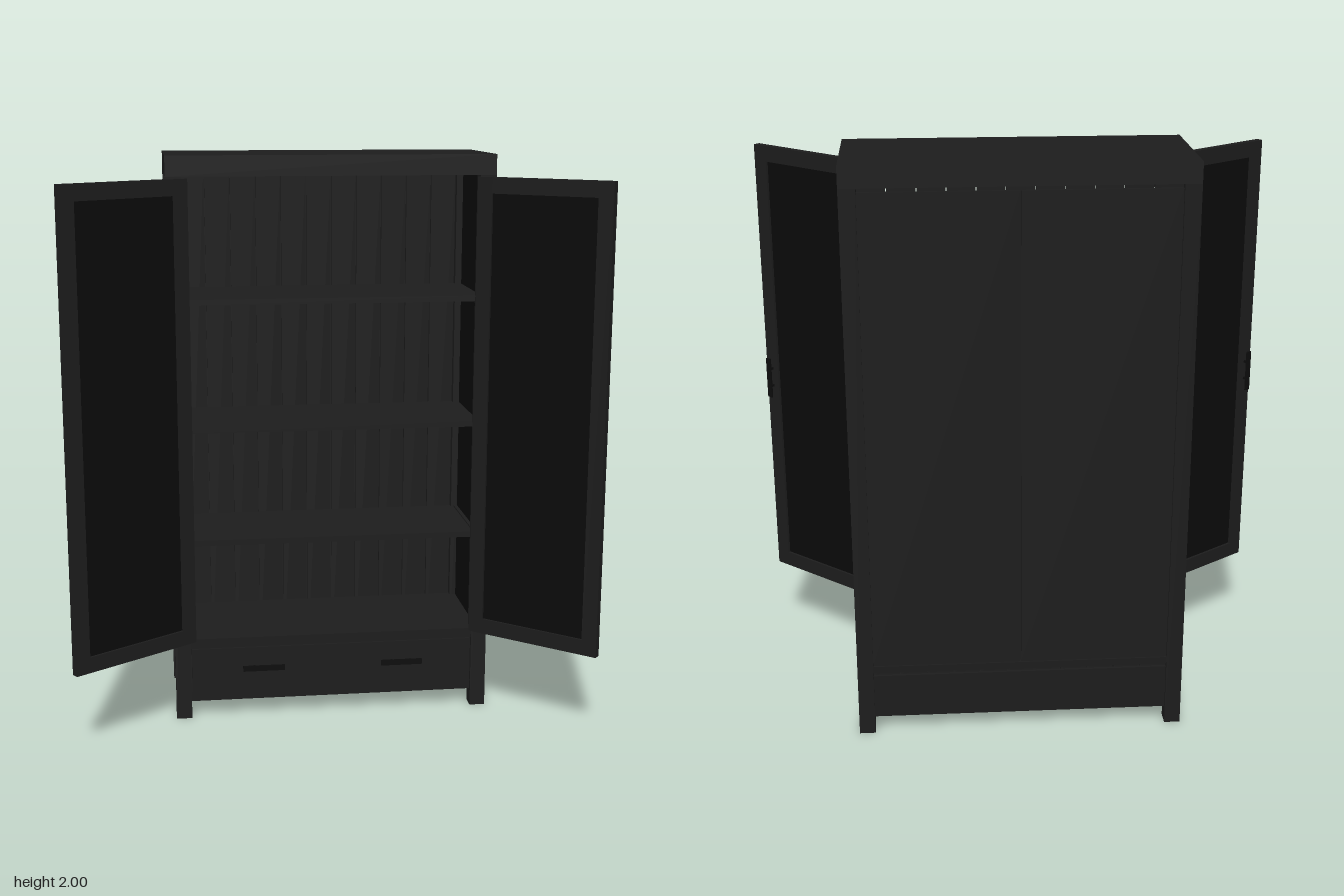
import * as THREE from 'three';

const wood = new THREE.MeshStandardMaterial({ color: 0x1c1c1c });
const glass = new THREE.MeshStandardMaterial({ color: 0x0a0a0a });
const metal = new THREE.MeshStandardMaterial({ color: 0x0c0c0c });

// Box given by its extents on each axis
function box(parent, name, [x0, x1], [y0, y1], [z0, z1], material = wood) {
  const geometry = new THREE.BoxGeometry(Math.abs(x1 - x0), y1 - y0, z1 - z0);
  const mesh = new THREE.Mesh(geometry, material);
  mesh.position.set((x0 + x1) / 2, (y0 + y1) / 2, (z0 + z1) / 2);
  mesh.name = name;
  parent.add(mesh);
  return mesh;
}

// Bar handle lying along x, its mounting plane at z = 0
function makeHandle() {
  const handle = new THREE.Group();
  handle.name = 'handle';
  box(handle, 'handleBar', [-0.075, 0.075], [-0.01, 0.01], [0.015, 0.021], metal);
  for (const x of [-0.033, 0.033])
    box(handle, 'handleStud', [x - 0.004, x + 0.004], [-0.005, 0.005], [-0.004, 0.016], metal);
  return handle;
}

// Glazed door reaching from its hinge at x = 0 towards dir, outside facing +z
function makeDoor(dir) {
  const door = new THREE.Group();
  const L = 0.5, w = 0.055, t = 0.0125, y0 = 0.297, y1 = 1.925;
  const span = (a, b) => [dir * a, dir * b];
  box(door, 'hingeStile', span(0, w), [y0, y1], [-t, t]);
  box(door, 'outerStile', span(L - w, L), [y0, y1], [-t, t]);
  box(door, 'topRail', span(w, L - w), [y1 - w, y1], [-t, t]);
  box(door, 'bottomRail', span(w, L - w), [y0, y0 + w], [-t, t]);
  box(door, 'doorGlass', span(w, L - w), [y0 + w, y1 - w], [-0.004, 0.004], glass);
  const handle = makeHandle();
  handle.rotation.z = Math.PI / 2;
  handle.position.set(dir * 0.473, 1.065, t);
  door.add(handle);
  return door;
}

export function createModel() {
  const model = new THREE.Group();
  model.name = 'cabinet';
  const body = new THREE.Group();
  body.name = 'body';
  body.position.x = 0.01;
  model.add(body);

  const W = 0.565, post = 0.055, inner = W - post;
  const zF = 0.05, zB = -0.403;
  const sideZ = [zB + post, zF - post];

  // Corner posts with feet
  for (const s of [-1, 1])
    for (const z of [[zF - post, zF], [zB, zB + post]])
      box(body, 'cornerPost', [s * inner, s * W], [0, 1.93], z);

  // Top slab
  box(body, 'top', [-W, W], [1.93, 2], [zB, zF]);

  // Side walls: rails, glass panes and a planked lower panel
  const rails = [[0.06, 0.095], [0.26, 0.295], [0.625, 0.655], [1.03, 1.06], [1.478, 1.51]];
  for (const s of [-1, 1]) {
    for (const r of rails) box(body, 'sideRail', [s * (W - 0.045), s * (W - 0.008)], r, sideZ);
    box(body, 'sideGlass', [s * (W - 0.032), s * (W - 0.024)], [0.295, 1.93], sideZ, glass);
    const seams = [sideZ[0], -0.275, -0.205, -0.135, -0.08, sideZ[1]];
    for (let i = 0; i < 5; i++)
      box(body, 'sidePlank', [s * (W - 0.035), s * (W - 0.018)], [0.095, 0.26],
        [seams[i] + 0.001, seams[i + 1] - 0.001]);
    box(body, 'sideLining', [s * (W - 0.04), s * (W - 0.033)], [0.095, 0.26], sideZ);
  }

  // Shelves, cabinet floor and underside
  for (const y of [0.64, 1.05, 1.5])
    box(body, 'shelf', [-W + 0.04, W - 0.04], [y - 0.01, y + 0.01], [zB + 0.035, zF - 0.05]);
  box(body, 'cabinetFloor', [-W + 0.04, W - 0.04], [0.275, 0.295], [zB + 0.035, zF - 0.02]);
  box(body, 'underside', [-W + 0.04, W - 0.04], [0.06, 0.08], [zB + 0.02, zF - 0.02]);

  // Front rails and drawer front
  box(body, 'drawerTopRail', [-inner, inner], [0.262, 0.297], [zF - 0.045, zF - 0.004]);
  box(body, 'bottomFrontRail', [-inner, inner], [0.06, 0.095], [zF - 0.05, zF - 0.012]);
  box(body, 'drawerFront', [-inner + 0.003, inner - 0.003], [0.098, 0.259], [zF - 0.03, zF - 0.002]);
  for (const x of [-0.25, 0.25]) {
    const handle = makeHandle();
    handle.position.set(x, 0.186, zF - 0.001);
    body.add(handle);
  }

  // Planked back with rails
  const n = 11, step = 2 * inner / n;
  for (let i = 0; i < n; i++) {
    const x = -inner + i * step;
    box(body, 'backPlank', [x + 0.0015, x + step - 0.0015], [0.06, 1.93], [zB + 0.02, zB + 0.035]);
  }
  for (const x of [-1, 1])
    box(body, 'backSheet', [0.002 * x, inner * x], [0.26, 1.915], [zB + 0.01, zB + 0.021]);
  box(body, 'backLowerRail', [-inner, inner], [0.235, 0.26], [zB + 0.004, zB + 0.021]);
  box(body, 'backBottomRail', [-inner, inner], [0.06, 0.22], [zB + 0.01, zB + 0.021]);

  // Open doors and their hinges
  for (const [dir, x, angle] of [[1, -0.488, -145], [-1, 0.513, 139]]) {
    const door = makeDoor(dir);
    door.name = dir > 0 ? 'rightDoor' : 'leftDoor';
    door.position.set(x, 0, 0.062);
    door.rotation.y = THREE.MathUtils.degToRad(angle);
    model.add(door);
    for (const y of [0.46, 1.05, 1.8]) {
      const hinge = new THREE.Mesh(new THREE.CylinderGeometry(0.006, 0.006, 0.06, 10), metal);
      hinge.name = 'hinge';
      hinge.position.set(x - dir * 0.008, y, 0.051);
      model.add(hinge);
    }
  }
  return model;
}
